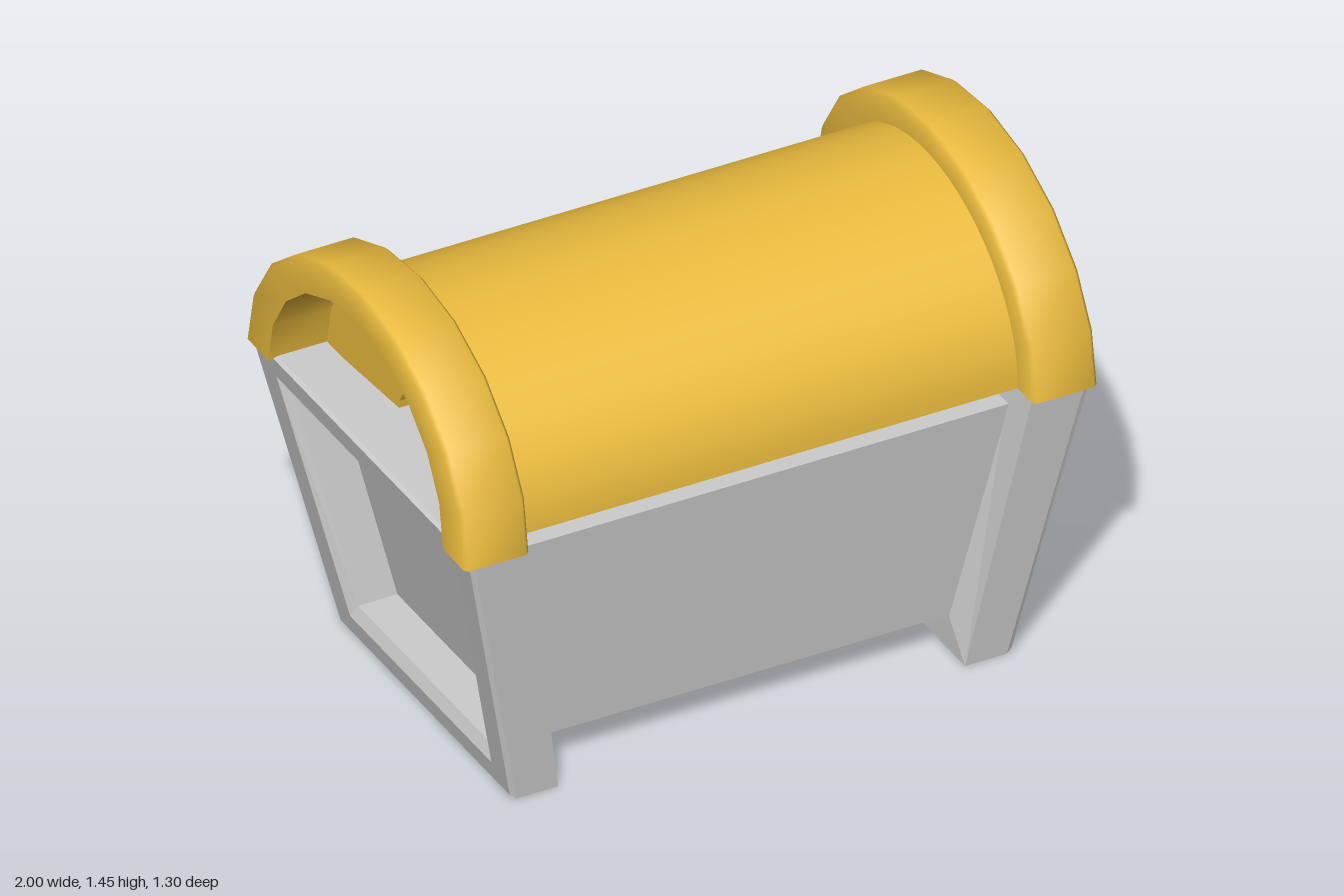
import * as THREE from 'three';
import { toCreasedNormals } from 'three/addons/utils/BufferGeometryUtils.js';

const grey = new THREE.MeshStandardMaterial({ color: 0xcccccc, side: THREE.DoubleSide });
const gold = new THREE.MeshStandardMaterial({ color: 0xeabb3e, side: THREE.DoubleSide });
const yellow = new THREE.MeshStandardMaterial({ color: 0xe0dc44 });

function mesh(name, geometry, material) {
  const m = new THREE.Mesh(geometry, material);
  m.name = name;
  return m;
}

// Joins successive loops of corners with flat quads
function loft(loops) {
  const pos = [];
  for (let k = 0; k + 1 < loops.length; k++) {
    const a = loops[k], b = loops[k + 1], n = a.length;
    for (let i = 0; i < n; i++) {
      const j = (i + 1) % n;
      for (const p of [a[i], a[j], b[j], a[i], b[j], b[i]]) pos.push(...p);
    }
  }
  const g = new THREE.BufferGeometry();
  g.setAttribute('position', new THREE.Float32BufferAttribute(pos, 3));
  g.computeVertexNormals();
  return g;
}

// Closed tapered box: horizontal loops from the underside up to the top
function bodyGeometry() {
  const loop = (y, x, zf, zb) => [[x, y, zf], [x, y, zb], [-x, y, zb], [-x, y, zf]];
  return loft([
    loop(0.115, 0, 0.025, 0.025),
    loop(0.115, 0.665, 0.435, -0.385),
    loop(0.83, 0.805, 0.525, -0.52),
    loop(0.83, 0, 0.003, 0.003),
  ]);
}

// Leaning trapezoid frame with a chamfered opening; side is +1 or -1
function frameGeometry(side) {
  const innerX = y => 0.643 + 0.195 * Math.max(0, y - 0.115);
  const outerX = y => 0.79 + 0.21 * y;
  const loop = (y0, f0, b0, y1, f1, b1, xAt) => {
    const pts = [[f0, y0], [b0, y0], [b1, y1], [f1, y1]].map(([z, y]) => [side * xAt(y), y, z]);
    return side > 0 ? pts : pts.reverse();
  };
  const outside = [0, 0.53, -0.48, 0.93, 0.64, -0.64];
  const opening = [0.118, 0.428, -0.378, 0.828, 0.512, -0.505];
  return loft([
    loop(...opening, innerX),
    loop(...outside, innerX),
    loop(...outside, y => outerX(y) - 0.015),
    loop(0.015, 0.525, -0.475, 0.925, 0.635, -0.635, outerX),
    loop(0.08, 0.442, -0.393, 0.855, 0.534, -0.525, outerX),
    loop(...opening, y => outerX(y) - 0.025),
    loop(...opening, innerX),
  ]);
}

// Points of a half ellipse from front (+z) over the top to the back
function arc(rz, ry, n) {
  return Array.from({ length: n + 1 }, (_, i) => {
    const t = Math.PI * i / n;
    return new THREE.Vector2(-rz * Math.cos(t), ry * Math.sin(t));
  });
}

// Extrudes a (-z, y) outline along x, from x0 to x1
function alongX(points, x0, x1) {
  const g = new THREE.ExtrudeGeometry(new THREE.Shape(points), { depth: x1 - x0, bevelEnabled: false });
  return g.translate(0, 0, x0).rotateY(Math.PI / 2);
}

// Arch band: a section with eased outer corners swept from back to front
function archGeometry(x0, x1) {
  const c = 0.012;
  const section = [
    [x0, 0.517, 0.446], [x1, 0.517, 0.446], [x1, 0.65 - c, 0.545 - c],
    [x1 - c, 0.65, 0.545], [x0 + c, 0.65, 0.545], [x0, 0.65 - c, 0.545 - c],
  ];
  const n = 10, loops = [];
  for (let i = 0; i <= n; i++) {
    const t = Math.PI * (1 - i / n);
    loops.push(section.map(([x, rz, ry]) => [x, ry * Math.sin(t), rz * Math.cos(t)]));
  }
  // close both feet
  const foot = z => section.map(() => [(x0 + x1) / 2, 0, z]);
  return toCreasedNormals(loft([foot(-0.58), ...loops, foot(0.58)]), 0.9);
}

function createLid() {
  const lid = new THREE.Group();
  lid.name = 'lid';

  // Curved barrel shell with a lip that drops inwards
  const shell = [...arc(0.54, 0.465, 28), new THREE.Vector2(0.475, -0.042),
    ...arc(0.475, 0.405, 28).reverse(), new THREE.Vector2(-0.475, -0.042)];
  const barrel = mesh('lidBarrel', toCreasedNormals(alongX(shell, -0.8, 0.8), 0.5), gold);
  barrel.position.z = 0.017;
  lid.add(barrel);

  // End panel with a rounded notch in its lower edge
  const notch = arc(0.09, 0.09, 10).reverse().map(p => p.add(new THREE.Vector2(0, 0.045)));
  const panel = [...arc(0.525, 0.455, 24), ...notch];

  for (const side of [1, -1]) {
    const label = side > 0 ? 'left' : 'right';
    const span = (a, b) => (side > 0 ? [a, b] : [-b, -a]);
    lid.add(mesh(label + 'LidPanel', alongX(panel, ...span(0.77, 0.815)), gold));
    lid.add(mesh(label + 'LidArch', archGeometry(...span(0.795, 1)), gold));
  }
  lid.position.y = 0.91;
  lid.rotation.x = 0.023; // resting slightly ajar at the back
  return lid;
}

export function createModel() {
  const chest = new THREE.Group();
  chest.name = 'chest';
  chest.add(mesh('body', bodyGeometry(), grey));
  for (const side of [1, -1]) {
    chest.add(mesh(side > 0 ? 'leftFrame' : 'rightFrame', frameGeometry(side), grey));
  }
  chest.add(createLid());

  // Round bevelled lock plate lying on the sloping back wall
  const profile = [[0, -0.03], [0.205, -0.03], [0.205, 0.022], [0.185, 0.042], [0, 0.042]]
    .map(([r, h]) => new THREE.Vector2(r, h));
  const lock = mesh('lockPlate', toCreasedNormals(new THREE.LatheGeometry(profile, 16), 0.5), yellow);
  lock.position.set(-0.015, 0.61, -0.476);
  lock.rotation.x = -(Math.PI / 2 + 0.17);
  chest.add(lock);
  return chest;
}
